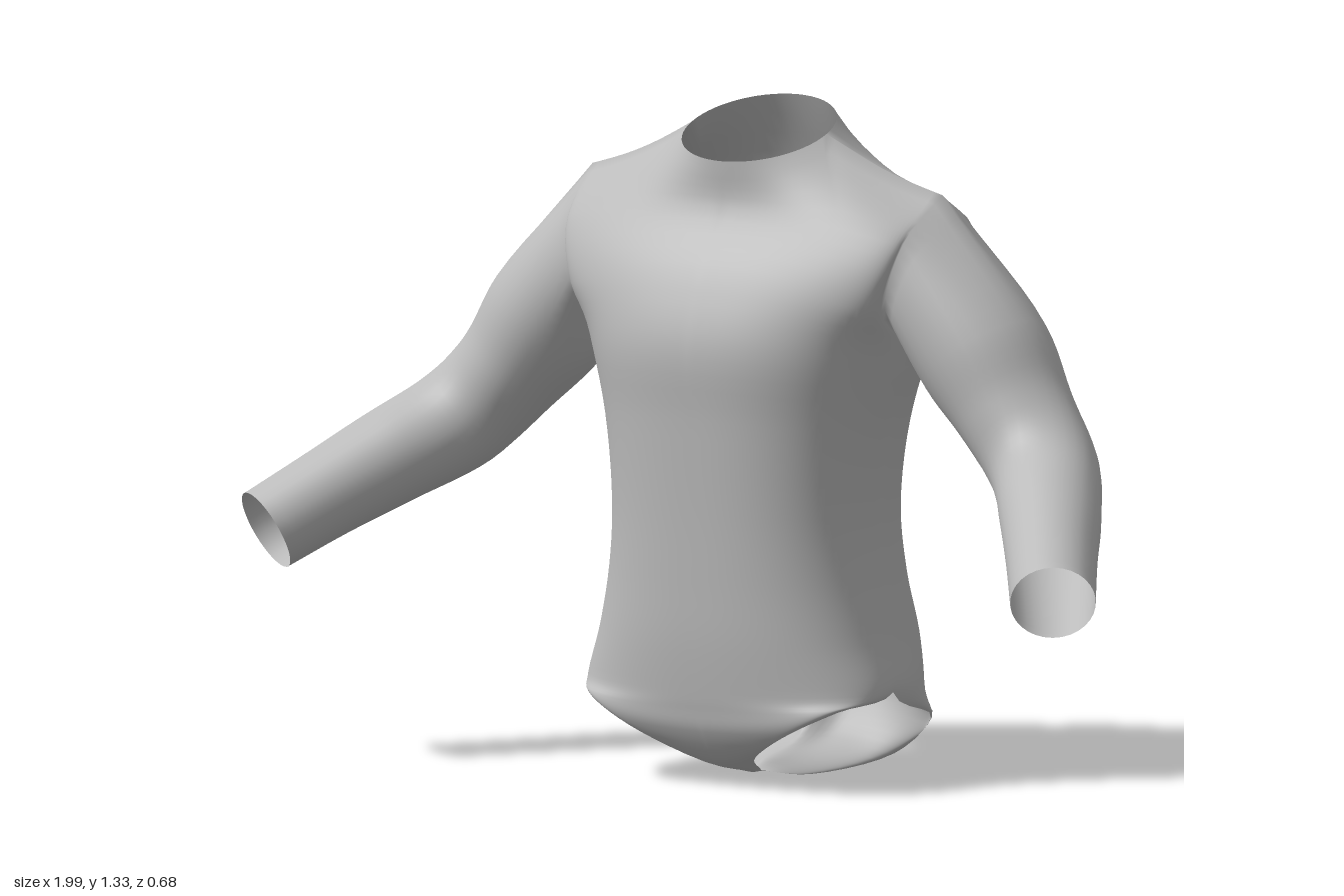
import * as THREE from 'three';
import { mergeVertices } from 'three/addons/utils/BufferGeometryUtils.js';

const COLS = 28;  // columns from centre line to side seam
const STEPS = 5;  // rows between key rows
const RIM = 4, ARMPIT = 9, TOP = 12;  // indices of key rows

// Key rows from crotch to chest: side edge x, y, z, then centre y, z
const FRONT = [
  [0.025, 0.025, -0.04, 0.02, -0.04],
  [0.09, 0.07, 0.08, 0.055, 0.085],
  [0.2, 0.13, 0.125, 0.12, 0.135],
  [0.29, 0.175, 0.09, 0.165, 0.145],
  [0.34, 0.205, -0.03, 0.2, 0.15],
  [0.318, 0.3, -0.06, 0.3, 0.16],
  [0.295, 0.42, -0.07, 0.42, 0.165],
  [0.285, 0.55, -0.07, 0.55, 0.17],
  [0.302, 0.72, -0.08, 0.74, 0.18],
  [0.345, 0.87, -0.1, 0.89, 0.188],
  [0.36, 0.97, 0.03, 1.02, 0.145],
  [0.39, 1.1, 0.01, 1.15, 0.067],
];
const BACK = [
  FRONT[0],
  [0.07, 0.008, -0.15, 0.04, -0.13],
  [0.17, 0.04, -0.29, 0.07, -0.25],
  [0.27, 0.12, -0.27, 0.14, -0.3],
  [0.34, 0.205, -0.03, 0.2, -0.32],
  [0.318, 0.3, -0.06, 0.3, -0.32],
  [0.295, 0.42, -0.07, 0.42, -0.29],
  [0.285, 0.55, -0.07, 0.55, -0.275],
  [0.302, 0.72, -0.08, 0.72, -0.285],
  [0.345, 0.87, -0.1, 0.87, -0.303],
  [0.36, 0.97, -0.24, 1.0, -0.318],
  [0.39, 1.1, -0.23, 1.14, -0.298],
];
// Sleeve rings: centre x, y, z, height radius, depth radius
const SLEEVE = [
  [0.51, 0.875, -0.1, 0.13, 0.138],
  [0.595, 0.765, -0.085, 0.11, 0.12],
  [0.685, 0.668, -0.045, 0.104, 0.108],
  [0.775, 0.595, 0.07, 0.096, 0.1],
  [0.85, 0.53, 0.18, 0.088, 0.09],
  [0.922, 0.465, 0.285, 0.084, 0.084],
];

// Point on a rounded cross-section, u = 0 at centre and 1 at the side
function rowPoint([ex, ey, ez, cy, cz], u) {
  const s = Math.sin(u * Math.PI / 2);
  const w = u === 1 ? 0 : Math.pow(Math.max(0, 1 - Math.pow(s, 2.5)), 0.4);
  return new THREE.Vector3(ex * s, cy + (ey - cy) * s * s, ez + (cz - ez) * w);
}

// Top row: neck opening, then shoulder line
function topPoint(side, u) {
  if (u <= 0.5) {
    const a = u * Math.PI, c = u === 0.5 ? 0 : Math.cos(a);
    return new THREE.Vector3(0.158 * Math.sin(a), 1.29 - side * 0.05 * c, -0.07 + side * 0.137 * c);
  }
  const k = u * 2 - 1;
  return new THREE.Vector3(0.158 + 0.252 * k, 1.29 - 0.105 * k - 0.01 * Math.sin(Math.PI * k), -0.07 - 0.03 * k);
}

// Smooth grid[row][column] through key points given per column
function loft(columns, keys, steps) {
  const grid = Array.from({ length: (keys - 1) * steps + 1 }, () => []);
  columns.forEach((points) => {
    const curve = new THREE.CatmullRomCurve3(points);
    grid.forEach((row, i) => row.push(curve.getPoint(i / (grid.length - 1))));
  });
  return grid;
}

function panel(rows, side) {
  const columns = [];
  for (let j = 0; j <= COLS; j++) {
    const u = j / COLS;
    columns.push([...rows.map((r) => rowPoint(r, u)), topPoint(side, u)]);
  }
  return loft(columns, TOP + 1, STEPS);
}

// Seat: two rounded lobes with a crease between
function shapeSeat(grid) {
  grid.forEach((row, i) => row.forEach((p) => {
    const ramp = Math.min(1, i / STEPS);
    const lobe = Math.exp(-(((p.x - 0.12) / 0.09) ** 2) - ((p.y - 0.18) / 0.12) ** 2);
    const crease = Math.exp(-((p.x / 0.025) ** 2)) * (1 - THREE.MathUtils.smoothstep(p.y, 0.17, 0.36));
    p.z += ramp * (0.04 * crease - 0.02 * lobe);
  }));
}

// Sleeve grown from the armhole loop out to the cuff
function sleeve(loop) {
  const path = new THREE.CatmullRomCurve3(SLEEVE.map(([x, y, z]) => new THREE.Vector3(x, y, z)));
  const columns = loop.map((p) => [p.clone()]);
  SLEEVE.forEach(([x, y, z, rh, rd], k) => {
    const dir = path.getTangent(k / (SLEEVE.length - 1));
    const up = new THREE.Vector3(0, 1, 0).addScaledVector(dir, -dir.y).normalize();
    const fore = new THREE.Vector3().crossVectors(dir, up);
    columns.forEach((c, j) => {
      const a = j / (loop.length - 1) * Math.PI * 2;
      c.push(new THREE.Vector3(x, y, z)
        .addScaledVector(up, -rh * Math.cos(a))
        .addScaledVector(fore, rd * Math.sin(a)));
    });
  });
  return loft(columns, SLEEVE.length + 1, 6);
}

// Adds a grid and its mirror image to the surface
function addGrid(grid, flip, positions, index) {
  for (const sign of [1, -1]) {
    const base = positions.length / 3, n = grid[0].length;
    const turned = flip !== (sign < 0);
    grid.forEach((row) => row.forEach((p) => positions.push(p.x * sign, p.y, p.z)));
    for (let i = 0; i < grid.length - 1; i++) {
      for (let j = 0; j < n - 1; j++) {
        const a = base + i * n + j, b = a + 1, c = b + n, d = a + n;
        if (turned) index.push(a, c, b, a, d, c);
        else index.push(a, b, c, a, c, d);
      }
    }
  }
}

export function createModel() {
  const front = panel(FRONT, 1), back = panel(BACK, -1);
  shapeSeat(back);

  // Join the side seams between leg opening and armpit
  for (let i = RIM * STEPS; i <= ARMPIT * STEPS; i++) back[i][COLS].copy(front[i][COLS]);

  // Armhole: up the front edge, down the back edge
  const edge = (grid) => grid.slice(ARMPIT * STEPS).map((row) => row[COLS]);
  const loop = [...edge(front), ...edge(back).reverse().slice(1)];

  const positions = [], index = [];
  addGrid(front, false, positions, index);
  addGrid(back, true, positions, index);
  addGrid(sleeve(loop), true, positions, index);

  let geometry = new THREE.BufferGeometry();
  geometry.setAttribute('position', new THREE.Float32BufferAttribute(positions, 3));
  geometry.setIndex(index);
  geometry = mergeVertices(geometry, 1e-4);
  geometry.computeVertexNormals();

  const fabric = new THREE.MeshStandardMaterial({ color: 0xbbbbbb, side: THREE.DoubleSide });
  fabric.name = 'grey fabric';
  const suit = new THREE.Mesh(geometry, fabric);
  suit.name = 'longSleevedBodysuit';

  const group = new THREE.Group();
  group.name = 'bodysuit';
  group.add(suit);
  return group;
}
